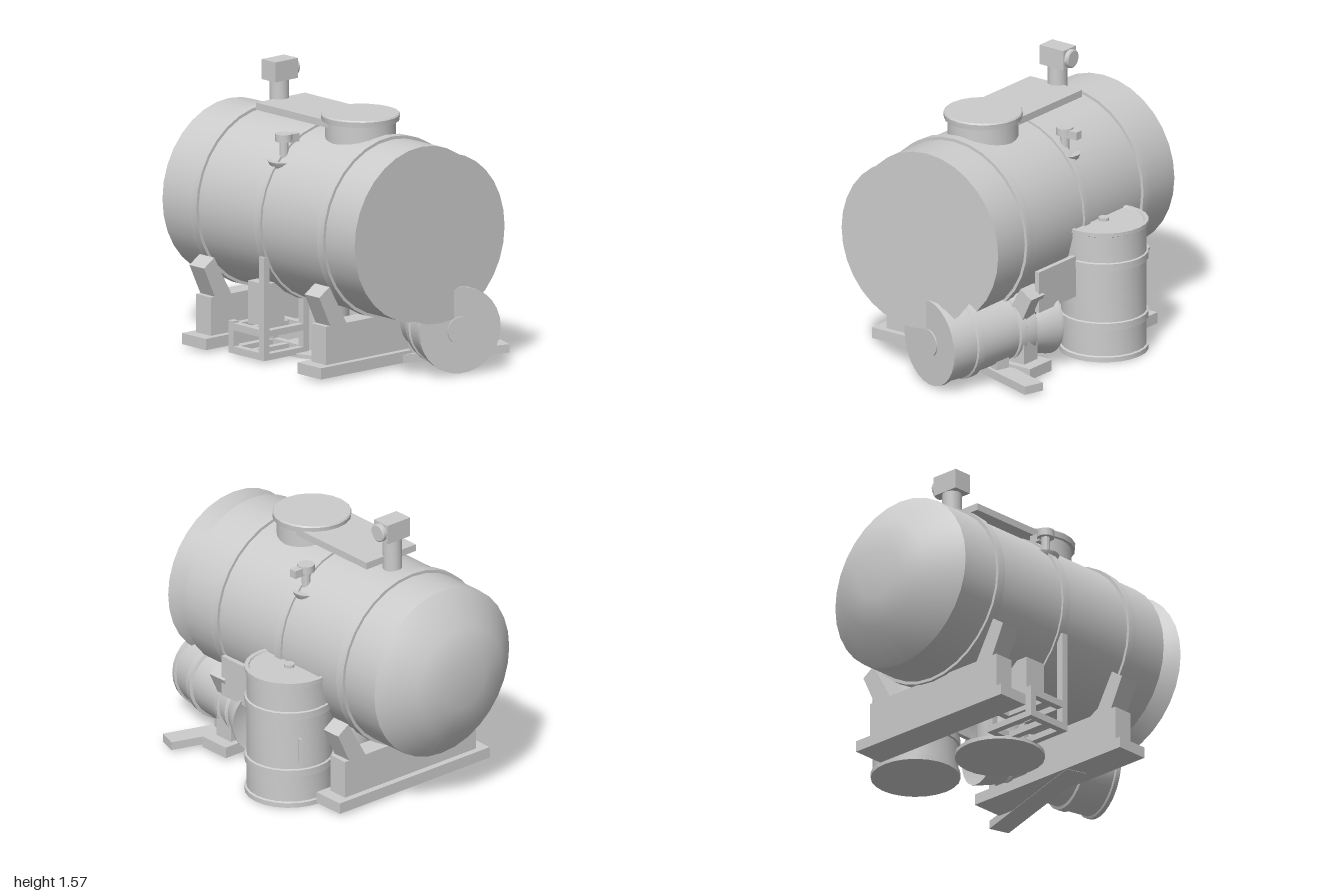
import * as THREE from 'three';
import { toCreasedNormals } from 'three/addons/utils/BufferGeometryUtils.js';

const TX = -0.11, TY = 0.79; // tank axis

export function createModel() {
  const model = new THREE.Group();
  const grey = new THREE.MeshStandardMaterial({ color: 0xcccccc });
  grey.name = 'light grey';

  const add = (name, geo, x = 0, y = 0, z = 0, parent = model) => {
    const mesh = new THREE.Mesh(geo, grey);
    mesh.name = name;
    mesh.position.set(x, y, z);
    parent.add(mesh);
    return mesh;
  };
  // box from min and max corners
  const box = (name, x0, x1, y0, y1, z0, z1, parent) =>
    add(name, new THREE.BoxGeometry(x1 - x0, y1 - y0, z1 - z0),
      (x0 + x1) / 2, (y0 + y1) / 2, (z0 + z1) / 2, parent);
  // turned solid from [radius, height] pairs, bottom to top
  const turned = (pairs, sides = 24) => toCreasedNormals(
    new THREE.LatheGeometry(pairs.map(([r, h]) => new THREE.Vector2(r, h)), sides), 0.5);
  const post = (name, r, x, z, y0, y1, sides = 16, parent) =>
    add(name, turned([[0, 0], [r, 0], [r, y1 - y0], [0, y1 - y0]], sides), x, y0, z, parent);

  // Horizontal tank: domed rear, flared front
  const tank = new THREE.Group();
  tank.name = 'tank';
  tank.position.set(TX, TY, 0);
  tank.rotation.x = Math.PI / 2;
  model.add(tank);
  add('tankShell', turned([
    [0, -1], [0.15, -1], [0.31, -0.96], [0.49, -0.81], [0.49, 0.765], [0.3, 0.765],
    [0.475, 0.915], [0.15, 0.915], [0.3, 0.955], [0, 0.955],
  ], 32), 0, 0, 0, tank);
  const hoop = (z, w, r) => add('tankHoop',
    turned([[0.48, -w], [r, -w], [r, w], [0.48, w]], 32), 0, z, 0, tank);
  hoop(0.5, 0.027, 0.507);
  hoop(-0.54, 0.027, 0.507);
  hoop(-0.02, 0.026, 0.503);

  // Saddles
  for (const z of [0.455, -0.49]) {
    box('saddleBase', -0.655, 0.435, 0.022, 0.085, z - 0.097, z + 0.097);
    box('saddleBlock', TX - 0.475, TX + 0.475, 0.085, 0.3, z - 0.06, z + 0.06);
    for (const s of [-1, 1]) {
      const arm = new THREE.Shape([[0.44, 0.29], [0.32, 0.29], [0.45, 0.52], [0.525, 0.47]]
        .map(([x, y]) => new THREE.Vector2(s * x, y)));
      add('saddleArm', new THREE.ExtrudeGeometry(arm, { depth: 0.12, bevelEnabled: false }),
        TX, 0, z - 0.06);
    }
  }

  // Hatch, walkway and sensor head on top
  post('hatchNeck', 0.195, TX, 0.265, 1.2, 1.35, 24);
  add('hatchLid', turned([[0, 0], [0.215, 0], [0.218, 0.03], [0.212, 0.038], [0, 0.038]], 20),
    TX, 1.348, 0.265);
  box('walkway', -0.29, 0.068, 1.315, 1.355, -0.39, 0.2);
  post('sensorPost', 0.054, TX, -0.4, 1.25, 1.47);
  box('sensorHead', -0.19, -0.025, 1.46, 1.572, -0.456, -0.344);
  const lens = add('sensorLens',
    turned([[0, 0], [0.052, 0], [0.052, 0.025], [0.045, 0.03], [0, 0.03]], 16), -0.03, 1.516, -0.4);
  lens.rotation.z = -Math.PI / 2;

  // Valves on the shoulders
  for (const [x, z] of [[-0.435, 0], [0.21, -0.05]]) {
    post('valveStem', 0.025, x, z, 1.05, 1.24, 12);
    add('valveCup', turned([[0, 0], [0.05, 0], [0.07, 0.02], [0.083, 0.05], [0, 0.05]], 16), x, 1.07, z - 0.01);
    post('valveCap', 0.048, x, z, 1.23, 1.272);
    box('valveLever', x + 0.03, x + 0.097, 1.218, 1.264, z - 0.022, z + 0.022);
  }

  // Side panel
  box('sidePanel', 0.375, 0.403, 0.37, 0.605, 0.1, 0.43);

  // Upright drum
  const drum = new THREE.Group();
  drum.name = 'drum';
  drum.position.set(0.41, 0, -0.14);
  model.add(drum);
  const R = 0.235, Q = 0.246;
  add('drumBody', turned([
    [0, 0.008], [Q, 0.008], [Q, 0.035], [R, 0.04], [R, 0.188], [Q, 0.192], [Q, 0.232], [R, 0.236],
    [R, 0.533], [Q, 0.537], [Q, 0.577], [R, 0.581], [R, 0.73], [Q, 0.735], [Q, 0.757],
    [0.225, 0.757], [0.22, 0.748], [0, 0.748],
  ]), 0, 0, 0, drum);
  post('drumBung', 0.03, 0, 0, 0.745, 0.765, 12, drum);
  const gauge = box('drumGauge', -0.008, 0.008, 0.28, 0.42, -0.01, 0.01, drum);
  gauge.position.set(0.108, 0.35, -0.212);
  gauge.rotation.y = -0.47;

  // Angled motor: local +z runs along its axis toward the front
  const motor = new THREE.Group();
  motor.name = 'motor';
  motor.position.set(0.03, 0.257, 0.926);
  motor.rotation.y = -0.314;
  model.add(motor);
  const body = add('motorBody', turned([
    [0, -0.72], [0.12, -0.72], [0.205, -0.75], [0.205, -0.735], [0.17, -0.6], [0.185, -0.59],
    [0.185, -0.52], [0.2, -0.515], [0.2, -0.475], [0.187, -0.47], [0.215, -0.22], [0.232, -0.215],
    [0.235, -0.17], [0.225, -0.165], [0.23, -0.03], [0.242, -0.025], [0.242, 0], [0, 0],
  ], 28), 0, 0, 0, motor);
  body.rotation.x = Math.PI / 2;
  const hub = add('motorHub', turned([[0, 0], [0.077, 0], [0.077, 0.008], [0, 0.008]], 20), 0, 0, 0, motor);
  hub.rotation.x = Math.PI / 2;
  box('motorBeam', -0.44, 0.44, -0.237, -0.19, -0.45, -0.33, motor);
  box('motorCradle', -0.14, 0.14, -0.195, -0.11, -0.43, -0.35, motor);

  // Centre column under the tank
  add('centreColumn', turned([[0, 0], [0.247, 0], [0.247, 0.022], [0.13, 0.022], [0.13, 0.33], [0, 0.33]]),
    TX, 0.005, -0.02);

  // Pump frame on the far side
  const x0 = -0.59, x1 = -0.3, z0 = -0.28, z1 = 0.01;
  for (const y of [0.02, 0.15]) {
    for (const x of [x0, x1]) box('frameRail', x, x + 0.04, y, y + 0.04, z0, z1);
    for (const z of [z0, -0.15, z1 - 0.04]) box('frameBar', x0, x1 + 0.04, y, y + 0.035, z, z + 0.04);
  }
  for (const x of [x0, x1]) for (const z of [z0, z1 - 0.04])
    box('framePost', x, x + 0.04, 0.04, z === z0 ? 0.2 : 0.6, z, z + 0.04);
  box('framePump', -0.5, -0.36, 0.18, 0.42, -0.22, -0.08);
  return model;
}
